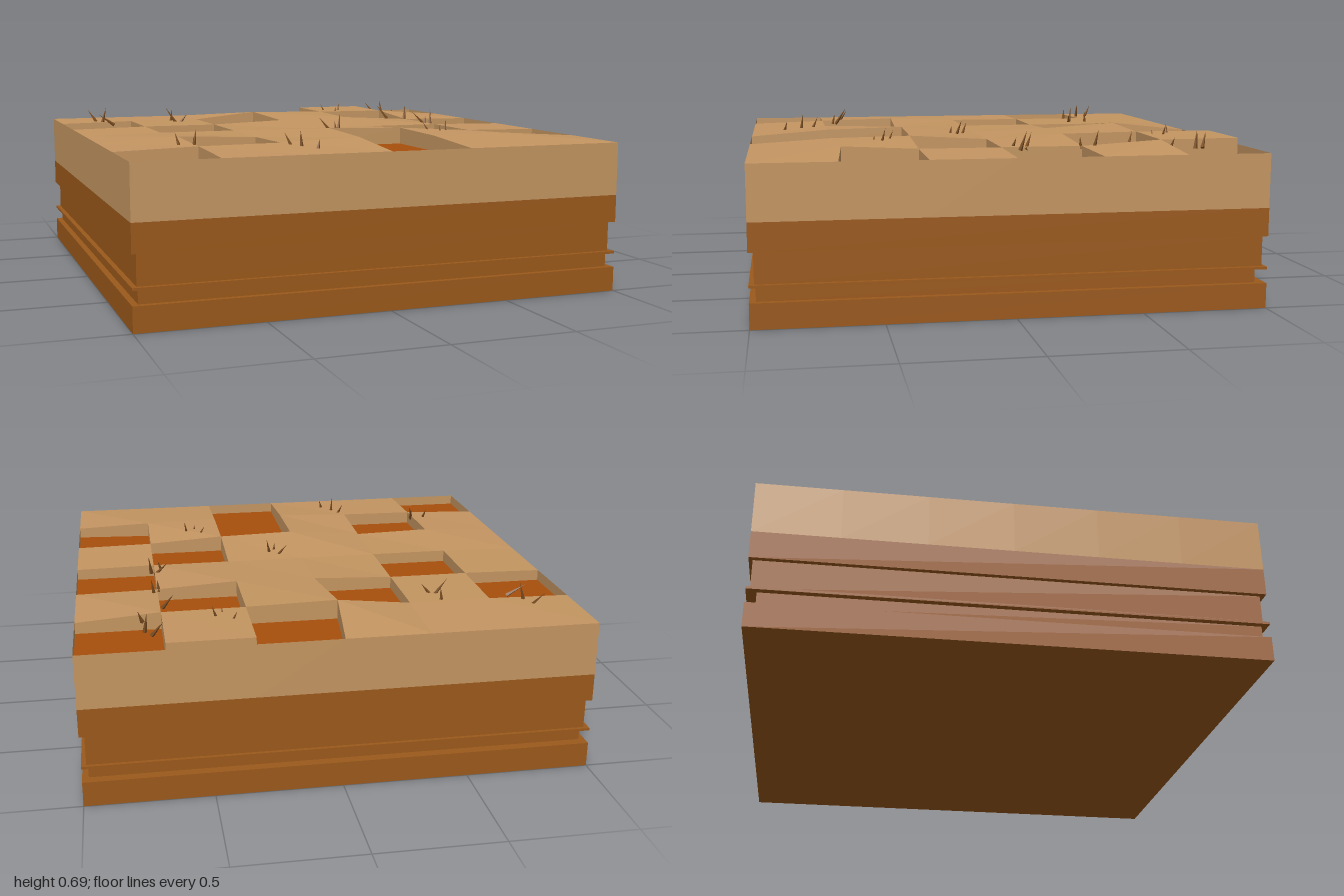
import * as THREE from 'three';

const N = 6, RIM = 0.615, FLOOR = 0.57, EARTH_TOP = 0.4;

// '#' marks a sunken patch; rows run back to front
const PLAN = ['...#.#', '#.#.#.', '.#...#', '....#.', '.#.#.#', '#..#..'];

// Uneven grid corners: 'column,row': [height, x shift, z shift]
const CORNERS = {
  '4,0': [0.642], '5,0': [0.642],
  '3,1': [0.65, -0.035, 0], '4,1': [0.642], '5,1': [0.64],
  '3,2': [0.632], '4,2': [0.638],
  '1,4': [0.632, 0, -0.013], '3,4': [0.648], '4,4': [0.64],
  '1,5': [0.625], '2,5': [0.628], '3,5': [0.64], '4,5': [0.635],
  '5,5': [0.635, 0, -0.027],
};

// Grass blades: root x, root z, tip x, tip z
const BLADES = [
  [[-0.82, -0.74, -0.86, -0.78], [-0.805, -0.69, -0.785, -0.69], [-0.76, -0.61, -0.83, -0.63]],
  [[-0.47, -0.65, -0.465, -0.645], [-0.46, -0.565, -0.51, -0.585], [-0.45, -0.56, -0.41, -0.55]],
  [[0.41, -0.78, 0.38, -0.79], [0.45, -0.74, 0.475, -0.755], [0.43, -0.71, 0.432, -0.705]],
  [[0.71, -0.83, 0.665, -0.86], [0.735, -0.79, 0.725, -0.8], [0.74, -0.68, 0.757, -0.695]],
  [[0.655, -0.53, 0.61, -0.56], [0.68, -0.38, 0.692, -0.395], [0.66, -0.33, 0.664, -0.325]],
  [[0.665, -0.1, 0.61, -0.135], [0.68, -0.075, 0.69, -0.1], [0.635, -0.05, 0.65, -0.065]],
  [[0.105, 0.075, 0.06, 0.045], [0.13, 0.105, 0.148, 0.08], [0.11, 0.13, 0.107, 0.12]],
  [[0.435, 0.44, 0.405, 0.41], [0.485, 0.47, 0.497, 0.45], [0.45, 0.5, 0.447, 0.49]],
  [[-0.72, 0.585, -0.73, 0.54], [-0.67, 0.6, -0.645, 0.55], [-0.668, 0.615, -0.672, 0.605]],
  [[-0.305, 0.73, -0.33, 0.7], [-0.285, 0.78, -0.288, 0.77], [-0.25, 0.858, -0.235, 0.845]],
];

const paint = (color) => new THREE.MeshStandardMaterial({ color, flatShading: true, side: THREE.DoubleSide });

function corner(i, j) {
  const inner = i > 0 && i < N && j > 0 && j < N;
  const [y, dx = 0, dz = 0] = CORNERS[`${i},${j}`] || [inner ? 0.62 : RIM];
  return new THREE.Vector3(-1 + 2 * i / N + dx, y, -1 + 2 * j / N + dz);
}

const atHeight = (p, y) => new THREE.Vector3(p.x, y, p.z);

function meshFromQuads(quads, material, name) {
  const points = quads.flatMap(([a, b, c, d]) => [a, b, c, a, c, d]);
  const geometry = new THREE.BufferGeometry().setFromPoints(points);
  geometry.computeVertexNormals();
  const mesh = new THREE.Mesh(geometry, material);
  mesh.name = name;
  return mesh;
}

// Checkered surface: raised sand cells, sunken floors and the walls between
function buildSurface() {
  const tops = [], walls = [], floors = [];
  for (let j = 0; j < N; j++) {
    for (let i = 0; i < N; i++) {
      const sunken = PLAN[j][i] === '#';
      const ring = [corner(i, j), corner(i, j + 1), corner(i + 1, j + 1), corner(i + 1, j)];
      const neighbours = [[i - 1, j], [i, j + 1], [i + 1, j], [i, j - 1]];
      if (sunken) floors.push(ring.map((p) => atHeight(p, FLOOR)));
      else tops.push(ring);

      neighbours.forEach(([ni, nj], k) => {
        const p = ring[k], q = ring[(k + 1) % 4];
        const next = PLAN[nj]?.[ni];
        if (next && (sunken || next === '.')) return;
        const low = next ? FLOOR : EARTH_TOP;
        const high = (v) => (sunken ? RIM : v.y);
        walls.push([atHeight(p, low), atHeight(q, low), atHeight(q, high(q)), atHeight(p, high(p))]);
      });
    }
  }
  const sand = paint(0xc49561);
  const surface = new THREE.Group();
  surface.name = 'surface';
  surface.add(
    meshFromQuads(tops, sand, 'sandTop'),
    meshFromQuads(walls, sand, 'sandWalls'),
    meshFromQuads(floors, paint(0xa84f0c), 'sunkenPatches'),
  );
  return surface;
}

// Stacked earth strata: name, bottom, top, left, right, back, front
function buildStrata() {
  const group = new THREE.Group();
  group.name = 'strata';
  const earth = paint(0x9b591b);
  const layers = [
    ['baseSlab', 0, 0.1, -1, 1, -1, 1],
    ['lowerGroove', 0.1, 0.156, -0.975, 0.975, -0.96, 0.975],
    ['thinLedge', 0.156, 0.166, -1, 1, -1, 1],
    ['upperGroove', 0.166, 0.288, -0.98, 0.98, -0.985, 0.98],
    ['upperEarth', 0.288, EARTH_TOP, -1, 1, -1, 1],
  ];
  for (const [name, y0, y1, x0, x1, z0, z1] of layers) {
    const layer = new THREE.Mesh(new THREE.BoxGeometry(x1 - x0, y1 - y0, z1 - z0), earth);
    layer.position.set((x0 + x1) / 2, (y0 + y1) / 2, (z0 + z1) / 2);
    layer.name = name;
    group.add(layer);
  }
  return group;
}

// Small clumps of tapered blades
function buildGrass() {
  const group = new THREE.Group();
  group.name = 'grass';
  const straw = paint(0x7a4e22);
  const tips = [0.672, 0.688, 0.658];
  BLADES.forEach((clump) => {
    const tuft = new THREE.Group();
    tuft.name = 'grassTuft';
    clump.forEach(([x, z, tx, tz], k) => {
      const root = new THREE.Vector3(x, 0.608, z);
      const lean = new THREE.Vector3(tx, tips[k], tz).sub(root);
      const blade = new THREE.Mesh(new THREE.ConeGeometry(0.009, lean.length(), 4), straw);
      blade.position.copy(root).addScaledVector(lean, 0.5);
      blade.quaternion.setFromUnitVectors(new THREE.Vector3(0, 1, 0), lean.normalize());
      blade.name = 'grassBlade';
      tuft.add(blade);
    });
    group.add(tuft);
  });
  return group;
}

export function createModel() {
  const model = new THREE.Group();
  model.name = 'groundTile';
  model.add(buildStrata(), buildSurface(), buildGrass());
  return model;
}
